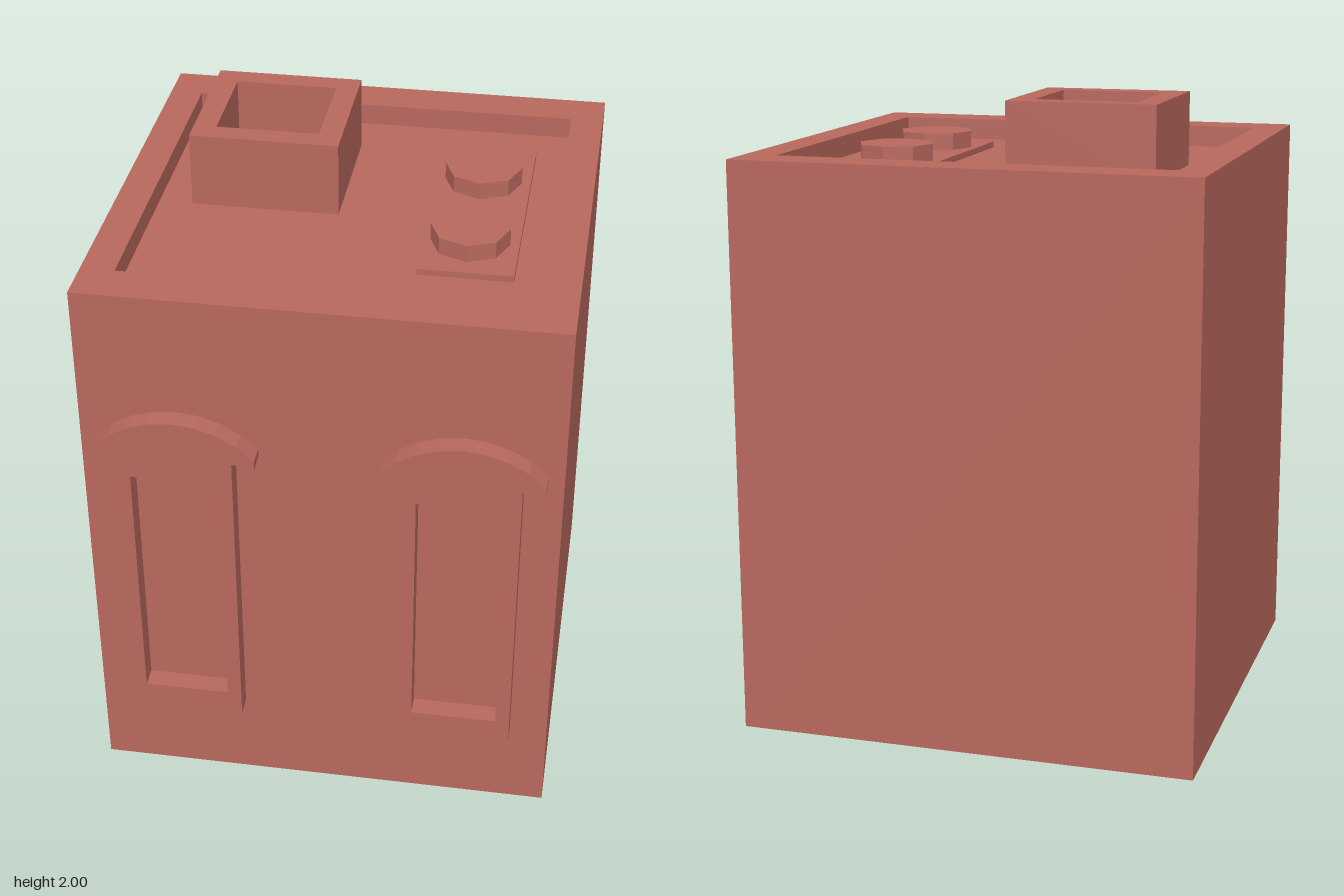
import * as THREE from 'three';

const material = new THREE.MeshStandardMaterial({ color: 0xb8685e, flatShading: true, side: THREE.DoubleSide });
const DECK = 1.76, TOP = 1.83;

function add(parent, name, geometry, x = 0, y = 0, z = 0) {
  const mesh = new THREE.Mesh(geometry, material);
  mesh.name = name;
  mesh.position.set(x, y, z);
  parent.add(mesh);
  return mesh;
}

// Four upright sides of a box, without top and bottom
function openBox(w, h, d) {
  const g = new THREE.BoxGeometry(w, h, d);
  const index = Array.from(g.index.array);
  g.setIndex([...index.slice(0, 12), ...index.slice(24, 36)]);
  g.clearGroups();
  return g;
}

function rectangle(w, h, Type = THREE.Shape) {
  return new Type([[-1, -1], [1, -1], [1, 1], [-1, 1]]
    .map(([x, y]) => new THREE.Vector2(x * w / 2, y * h / 2)));
}

// Flat-lying rectangle with a rectangular hole
function ring(w, d, holeW, holeD) {
  const shape = rectangle(w, d);
  shape.holes.push(rectangle(holeW, holeD, THREE.Path));
  return shape;
}

// Window surround: frame and arched hood in one outline, with the pane cut out
function windowGeometry() {
  const shape = new THREE.Shape();
  shape.moveTo(-0.18, 0.3);
  shape.lineTo(0.18, 0.3);
  shape.lineTo(0.18, 1.31);
  shape.lineTo(0.235, 1.31);
  shape.lineTo(0.25, 1.303);
  const radius = 0.339, half = 0.829, steps = 8;
  for (let i = 0; i <= steps; i++) {
    const a = half - (2 * half * i) / steps;
    shape.lineTo(radius * Math.sin(a), 1.101 + radius * Math.cos(a));
  }
  shape.lineTo(-0.25, 1.303);
  shape.lineTo(-0.235, 1.31);
  shape.lineTo(-0.18, 1.31);
  const pane = new THREE.Path();
  pane.moveTo(-0.135, 0.385);
  pane.lineTo(-0.135, 1.23);
  pane.lineTo(0.135, 1.23);
  pane.lineTo(0.135, 0.385);
  shape.holes.push(pane);
  return new THREE.ExtrudeGeometry(shape, { depth: 0.125, bevelEnabled: false });
}

export function createModel() {
  const model = new THREE.Group();
  model.name = 'building';

  // Hollow block, open underneath, with a sunken roof behind a parapet
  const midZ = -0.0325;
  add(model, 'walls', openBox(1.47, TOP, 1.465), 0, TOP / 2, midZ);
  add(model, 'parapetTop', new THREE.ShapeGeometry(ring(1.47, 1.465, 1.26, 1.185)), 0, TOP, midZ)
    .rotation.x = -Math.PI / 2;
  add(model, 'parapetInside', openBox(1.26, TOP - DECK, 1.185), 0, (TOP + DECK) / 2, midZ);
  add(model, 'roofDeck', new THREE.PlaneGeometry(1.26, 1.185), 0, DECK, midZ)
    .rotation.x = -Math.PI / 2;

  // Hollow square chimney
  const chimney = new THREE.ExtrudeGeometry(ring(0.47, 0.47, 0.326, 0.326), { depth: 2 - DECK, bevelEnabled: false });
  add(model, 'chimney', chimney, -0.288, DECK, -0.227).rotation.x = -Math.PI / 2;

  // Rooftop unit with two eight-sided vents
  add(model, 'ventBase', new THREE.BoxGeometry(0.296, 0.02, 0.792), 0.382, DECK + 0.01, -0.066);
  for (const z of [-0.247, 0.145]) {
    add(model, 'vent', new THREE.CylinderGeometry(0.123, 0.123, 0.055, 8), 0.378, DECK + 0.0475, z);
  }

  // Two windows, passing through the front wall
  for (const side of [-1, 1]) {
    add(model, side > 0 ? 'leftWindow' : 'rightWindow', windowGeometry(), side * 0.436, 0, 0.64);
  }
  return model;
}
